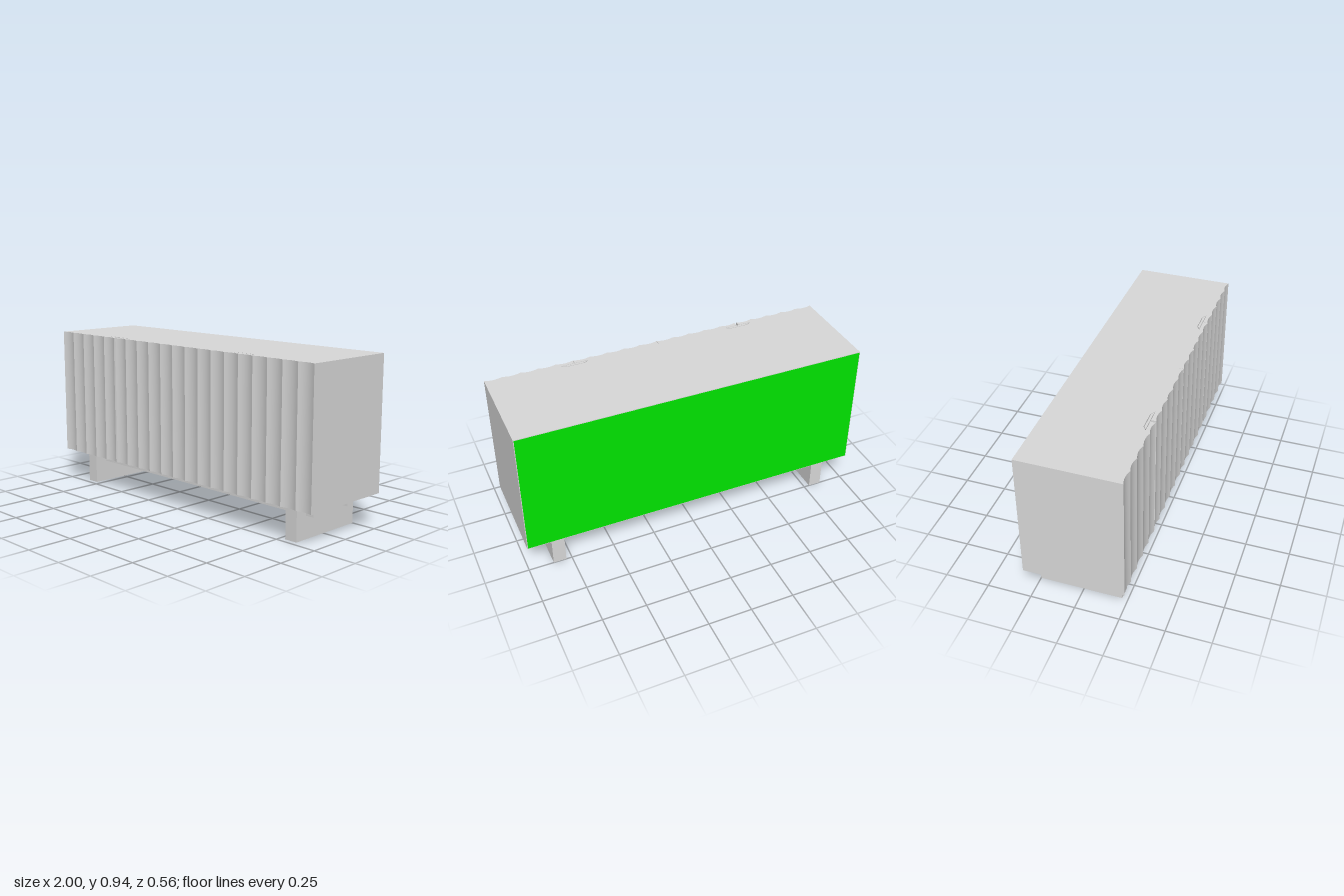
import * as THREE from 'three';
import { toCreasedNormals } from 'three/addons/utils/BufferGeometryUtils.js';

const BOTTOM = 0.19, TOP = 0.937, BACK = -0.281, FRONT = 0.281, DOOR_BACK = 0.252;
const PANEL = 0.01, RIM = 0.004, FLUTE = 0.1, FLUTE_DEPTH = 0.01;

export function createModel() {
  const model = new THREE.Group();
  model.name = 'sideboard';
  const grey = new THREE.MeshStandardMaterial({ color: 0xd8d8d8 });
  grey.name = 'grey board';
  const green = new THREE.MeshStandardMaterial({ color: 0x00e600 });
  green.name = 'green back';

  const add = (name, geometry, material = grey) => {
    const mesh = new THREE.Mesh(geometry, material);
    mesh.name = name;
    model.add(mesh);
    return mesh;
  };
  // box given by its lower and upper limits
  const box = (name, x0, x1, y0, y1, z0, z1, material) => {
    const mesh = add(name, new THREE.BoxGeometry(x1 - x0, y1 - y0, z1 - z0), material);
    mesh.position.set((x0 + x1) / 2, (y0 + y1) / 2, (z0 + z1) / 2);
  };
  // plan outline (x, -z) raised from y0 to y1
  const raise = (name, shape, y0, y1) => {
    const g = new THREE.ExtrudeGeometry(shape, { depth: y1 - y0, bevelEnabled: false, curveSegments: 8 });
    g.rotateX(-Math.PI / 2);
    g.translate(0, y0, 0);
    add(name, toCreasedNormals(g, 0.4));
  };

  // top panel with two finger notches behind the door gaps
  const top = new THREE.Shape();
  top.moveTo(-1, -DOOR_BACK);
  for (const x of [-0.5, 0.5]) {
    top.lineTo(x - 0.083, -DOOR_BACK);
    top.lineTo(x - 0.055, -0.233);
    top.lineTo(x + 0.055, -0.233);
    top.lineTo(x + 0.083, -DOOR_BACK);
  }
  top.lineTo(1, -DOOR_BACK);
  top.lineTo(1, -BACK);
  top.lineTo(-1, -BACK);
  raise('topPanel', top, TOP - PANEL, TOP);

  // pull plates set in the notches
  for (const x of [-0.5, 0.5]) {
    const pull = new THREE.Shape();
    pull.moveTo(x - 0.072, -0.249);
    pull.lineTo(x + 0.072, -0.249);
    pull.lineTo(x + 0.053, -0.237);
    pull.lineTo(x - 0.053, -0.237);
    raise('pullPlate', pull, TOP - PANEL, TOP);
  }

  // case
  box('bottomPanel', -1, 1, BOTTOM, BOTTOM + PANEL, BACK, DOOR_BACK);
  for (const s of [-1, 1]) {
    const edge = s * (1 - PANEL);
    box('sidePanel', Math.min(s, edge), Math.max(s, edge), BOTTOM + PANEL, TOP - PANEL, BACK, DOOR_BACK);
  }
  box('backPanel', -1 + PANEL, 1 - PANEL, BOTTOM + PANEL, TOP - PANEL, BACK, BACK + 0.01, green);
  // thin sheet covering the panel edges, leaving a narrow rim
  box('backSheet', -1 + RIM, 1 - RIM, BOTTOM + RIM, TOP - RIM, BACK - 0.001, BACK, green);
  box('divider', -0.008, 0.008, BOTTOM + PANEL, TOP - PANEL, BACK + 0.01, 0.245);
  box('shelf', -1 + PANEL, 1 - PANEL, 0.56, 0.575, BACK + 0.01, 0.23);
  box('innerPartition', 0.49, 0.51, BOTTOM + PANEL, TOP - PANEL, BACK + 0.01, 0.225);

  // four fluted doors, with a wider gap at the left-hand pair
  const gaps = [0, 0.0065, 0.001, 0.001, 0];
  for (let d = 0; d < 4; d++) {
    const x0 = -1 + d * 0.5;
    const left = x0 + gaps[d], right = x0 + 0.5 - gaps[d + 1];
    const door = new THREE.Shape();
    door.moveTo(left, -DOOR_BACK);
    door.lineTo(left, -FRONT);
    for (let i = 0; i < 5; i++) {
      const a = i === 0 ? left : x0 + i * FLUTE;
      const b = i === 4 ? right : x0 + (i + 1) * FLUTE;
      door.quadraticCurveTo((a + b) / 2, -FRONT + 2 * FLUTE_DEPTH, b, -FRONT);
    }
    door.lineTo(right, -DOOR_BACK);
    raise('flutedDoor', door, BOTTOM, TOP);
  }

  // base: two slab legs and two long rails passing through them
  for (const s of [-1, 1]) box('slabLeg', s * 0.82 - 0.037, s * 0.82 + 0.037, 0, BOTTOM, -0.25, 0.218);
  for (const z of [0.126, -0.156]) box('baseRail', -0.905, 0.905, 0.126, BOTTOM, z - 0.018, z + 0.018);

  return model;
}
